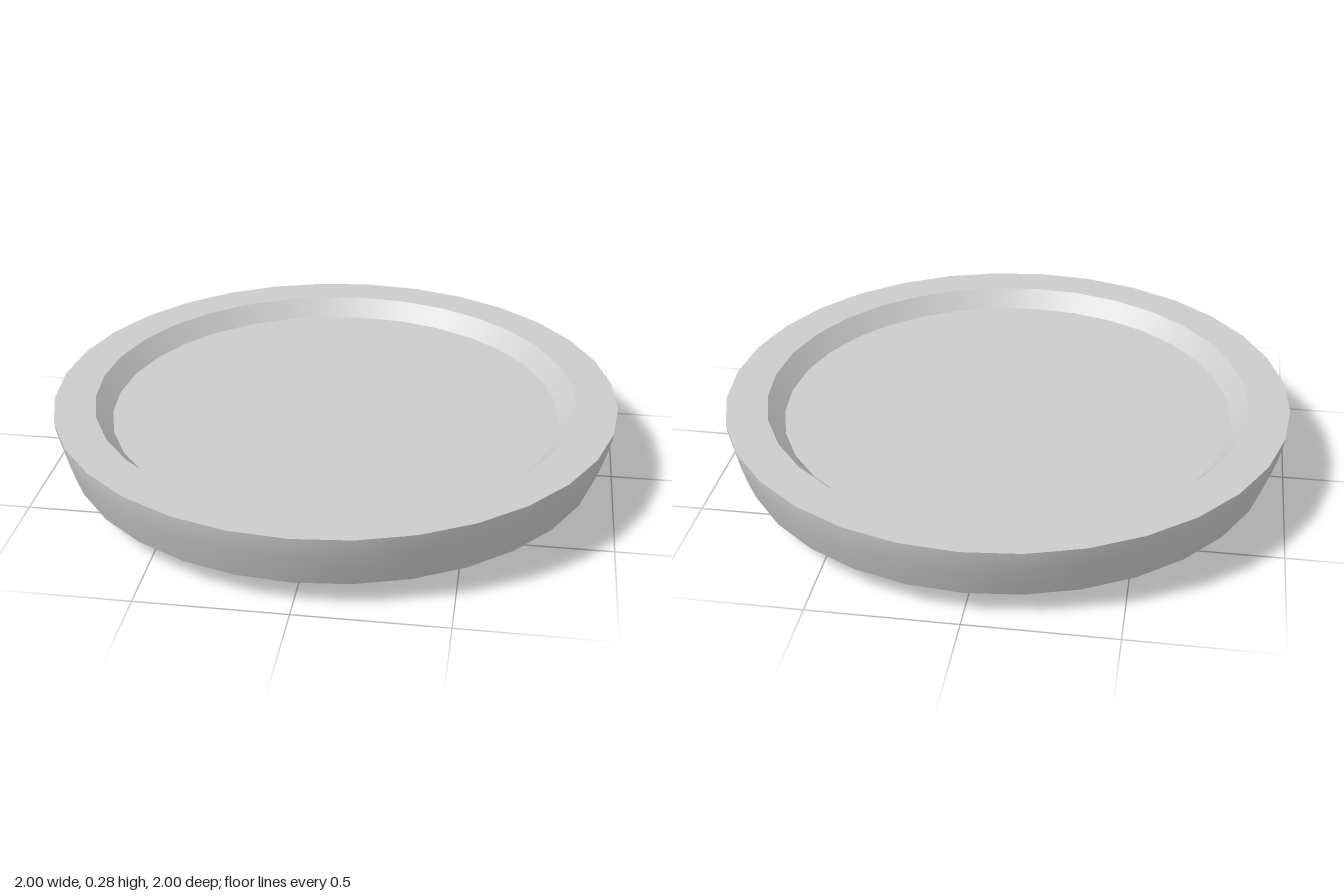
import * as THREE from 'three';

const SIDES = 32;
const material = new THREE.MeshStandardMaterial({ color: 0xcccccc });

// Each strip is one smooth band; separate strips keep the edge between them sharp.
// Profiles run from the bottom centre outward, up, and back in to the dish floor.
function addBand(group, name, profile) {
  const points = profile.map(([r, y]) => new THREE.Vector2(r, y));
  const mesh = new THREE.Mesh(new THREE.LatheGeometry(points, SIDES), material);
  mesh.name = name;
  group.add(mesh);
}

export function createModel() {
  const group = new THREE.Group();
  group.name = 'shallowDish';

  // Foot with a softly rounded lower edge
  addBand(group, 'foot', [[0, 0], [0.735, 0], [0.75, 0.003], [0.762, 0.015], [0.793, 0.083]]);

  // Flat ledge under the body
  addBand(group, 'underside', [[0.793, 0.083], [0.948, 0.083]]);

  // Slightly bulging outer wall
  addBand(group, 'outerWall', [[0.948, 0.083], [0.968, 0.14], [0.987, 0.205], [0.996, 0.245], [1, 0.275]]);

  // Flat rim, sloped inner wall and recessed floor
  addBand(group, 'rim', [[1, 0.275], [0.855, 0.275]]);
  addBand(group, 'innerWall', [[0.855, 0.275], [0.798, 0.212]]);
  addBand(group, 'floor', [[0.798, 0.212], [0, 0.212]]);

  return group;
}
